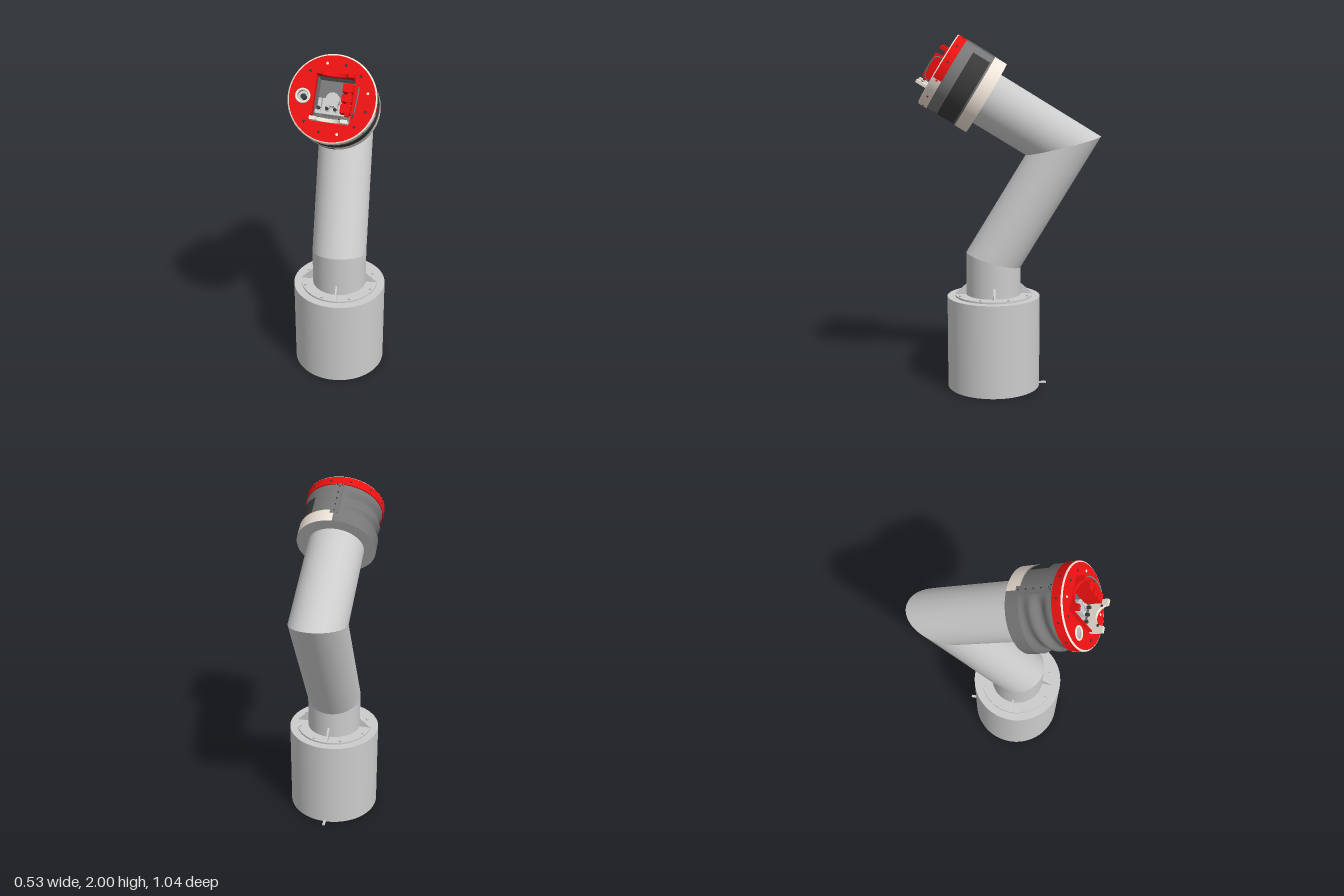
import * as THREE from 'three';

const mat = (color) => new THREE.MeshStandardMaterial({ color, side: THREE.DoubleSide });
const GREY = mat(0xcccccc), RED = mat(0xee1111), CREAM = mat(0xf2e6da);
const BODY = mat(0x777777), DARK = mat(0x3a3a3a);
const TILT = 0.547; // lean of the upper arm; the forearm is square to it

function add(parent, name, geo, material = GREY, x = 0, y = 0, z = 0) {
  const m = new THREE.Mesh(geo, material);
  m.name = name;
  m.position.set(x, y, z);
  parent.add(m);
  return m;
}

const box = (w, h, d) => new THREE.BoxGeometry(w, h, d);
const extrude = (shape, depth) =>
  new THREE.ExtrudeGeometry(shape, { depth, bevelEnabled: false, curveSegments: 32 });

// Pipe from y = 0 to len, its ends cut on a slant
function mitredPipe(r, len, slopeStart, slopeEnd) {
  const g = new THREE.CylinderGeometry(r, r, len, 64, 1, true).translate(0, len / 2, 0);
  const p = g.attributes.position;
  for (let i = 0; i < p.count; i++) {
    const y = p.getY(i), slope = y > len / 2 ? slopeEnd : slopeStart;
    p.setY(i, y + slope * p.getZ(i));
  }
  return g;
}

// Curved wall around the z axis; angle 0 is underneath, PI / 2 is +x, PI is on top
function band(r, z0, z1, start = 0, sweep = Math.PI * 2, rows = 1) {
  return new THREE.CylinderGeometry(r, r, z1 - z0, 96, rows, true, start, sweep)
    .rotateX(Math.PI / 2).translate(0, 0, (z0 + z1) / 2);
}

const stud = (r, len) => new THREE.CylinderGeometry(r, r, len, 12);

function rectPath(x0, y0, x1, y1, angle = 0, Type = THREE.Path) {
  const c = new THREE.Vector2();
  return new Type([[x0, y0], [x1, y0], [x1, y1], [x0, y1]]
    .map(([x, y]) => new THREE.Vector2(x, y).rotateAround(c, angle)));
}

// Upright plate whose outer edge has a round notch
function notchedPlate(width, height, notch, thick) {
  const s = new THREE.Shape();
  s.moveTo(-width / 2, 0);
  s.lineTo(width / 2, 0);
  s.lineTo(width / 2, height);
  s.lineTo(notch, height);
  s.absellipse(0, height, notch, height * 0.55, 0, Math.PI, true);
  s.lineTo(-width / 2, height);
  s.closePath();
  return extrude(s, thick).rotateX(Math.PI / 2);
}

function buildBase(root) {
  const base = new THREE.Group();
  base.name = 'base';
  base.position.z = 0.095;
  root.add(base);
  add(base, 'pedestal', new THREE.CylinderGeometry(0.265, 0.265, 0.53, 96), GREY, 0, 0.265, 0);
  add(base, 'mountingFlange', new THREE.CylinderGeometry(0.22, 0.22, 0.01, 64), GREY, 0, 0.535, 0);
  add(base, 'cableTab', box(0.015, 0.008, 0.06), GREY, 0, 0.004, -0.275);
  add(base, 'neck', mitredPipe(0.155, 0.21, 0, 0.28), GREY, 0, 0.53, 0);
  // Triangular gussets and flange bolts
  const fin = new THREE.Shape([[0.15, 0], [0.22, 0], [0.22, 0.012], [0.15, 0.075]]
    .map(([x, y]) => new THREE.Vector2(x, y)));
  for (let i = 0; i < 4; i++) {
    add(base, 'gusset', extrude(fin, 0.01).translate(0, 0, -0.005), GREY, 0, 0.53, 0)
      .rotation.y = i * Math.PI / 2;
  }
  for (let i = 0; i < 8; i++) {
    const a = (i + 0.5) * Math.PI / 4;
    add(base, 'flangeBolt', stud(0.008, 0.012), GREY, 0.205 * Math.cos(a), 0.542, 0.205 * Math.sin(a));
  }
}

function buildShell(head) {
  add(head, 'backPlate', new THREE.RingGeometry(0.1, 0.22, 96).rotateY(Math.PI), GREY);
  add(head, 'backRingLeft', band(0.22, 0, 0.075, 0, Math.PI), CREAM);
  add(head, 'backRingRight', band(0.22, 0, 0.075, Math.PI, Math.PI), BODY);
  add(head, 'backRingStep', new THREE.RingGeometry(0.2, 0.22, 96), BODY, 0, 0, 0.075);

  // Housing with slanting grooves sunk into the right side
  const shell = band(0.215, 0.06, 0.265, 0, Math.PI * 2, 24);
  const p = shell.attributes.position;
  for (let i = 0; i < p.count; i++) {
    const x = p.getX(i), y = p.getY(i), s = (p.getZ(i) - 0.06) / 0.205;
    const fade = THREE.MathUtils.smoothstep(-x, 0, 0.09) * Math.sin(Math.PI * s);
    const k = 1 - 0.11 * fade * Math.sin(Math.PI * (2 * s + y * 1.5)) ** 2;
    p.setXY(i, x * k, y * k);
  }
  shell.computeVertexNormals();
  add(head, 'housing', shell, BODY);
  add(head, 'darkPanel', band(0.217, 0.085, 0.19, -0.5, 3.0), DARK);

  // Riveted strip along the top
  add(head, 'topStrip', box(0.042, 0.012, 0.2), BODY, 0, 0.216, 0.155);
  for (let i = 0; i < 5; i++) {
    add(head, 'rivet', stud(0.004, 0.004), DARK, 0, 0.223, 0.07 + i * 0.042);
  }
  for (const x of [-0.012, 0.012]) add(head, 'rivet', stud(0.004, 0.004), DARK, x, 0.223, 0.248);

  // Front band, red above and cream below, with screws around it
  add(head, 'frontBandUpper', band(0.22, 0.255, 0.305, 1.34, 3.6), RED);
  add(head, 'frontBandLower', band(0.22, 0.255, 0.305, 4.94, 2.683), CREAM);
  add(head, 'frontBandStep', new THREE.RingGeometry(0.2, 0.22, 96), RED, 0, 0, 0.255);
  add(head, 'frontRim', new THREE.TorusGeometry(0.212, 0.008, 10, 96), CREAM, 0, 0, 0.304);
  for (let i = 0; i < 12; i++) {
    const a = (i + 0.5) * Math.PI / 6;
    add(head, 'bandScrew', stud(0.006, 0.006), Math.sin(a) < -0.2 ? RED : DARK,
      0.219 * Math.cos(a), 0.219 * Math.sin(a), 0.28).rotation.z = a - Math.PI / 2;
  }
}

function buildFace(head) {
  const TURN = -0.09;
  const disc = new THREE.Shape().absarc(0, 0, 0.212, 0, Math.PI * 2);
  disc.holes.push(rectPath(-0.095, -0.11, 0.1, 0.115, TURN));
  disc.holes.push(new THREE.Path().absarc(-0.145, 0.01, 0.034, 0, Math.PI * 2));
  add(head, 'facePlate', extrude(disc, 0.02), RED, 0, 0, 0.292);
  for (let i = 0; i < 12; i++) {
    const a = (i + 0.35) * Math.PI / 6;
    if (Math.abs(a - Math.PI) < 0.4) continue;
    add(head, 'faceScrew', stud(0.007, 0.004), i % 3 ? DARK : CREAM,
      0.175 * Math.cos(a), 0.175 * Math.sin(a), 0.312).rotation.x = Math.PI / 2;
  }

  // Round port beside the opening
  add(head, 'portRing', new THREE.TorusGeometry(0.032, 0.006, 10, 32), CREAM, -0.145, 0.01, 0.312);
  add(head, 'portWall', band(0.033, 0.24, 0.31), GREY, -0.145, 0.01, 0);
  add(head, 'portFloor', new THREE.CircleGeometry(0.033, 32), GREY, -0.145, 0.01, 0.25);
  add(head, 'portCore', stud(0.014, 0.04), DARK, -0.145, 0.01, 0.27).rotation.x = Math.PI / 2;

  // Square pocket behind the face
  const tool = new THREE.Group();
  tool.name = 'toolBay';
  tool.rotation.z = TURN;
  head.add(tool);
  const walls = rectPath(-0.1, -0.115, 0.105, 0.12, 0, THREE.Shape);
  walls.holes.push(rectPath(-0.095, -0.11, 0.1, 0.115));
  add(tool, 'pocketWalls', extrude(walls, 0.2), BODY, 0, 0, 0.1);
  add(tool, 'pocketFloor', box(0.2, 0.23, 0.01), BODY, 0, 0, 0.1);

  // Notched guards standing out of the opening
  add(tool, 'upperGuard', notchedPlate(0.185, 0.08, 0.065, 0.018), RED, 0.002, 0.125, 0.28);
  add(tool, 'lowerGuard', notchedPlate(0.185, 0.095, 0.06, 0.018), CREAM, 0.002, -0.1, 0.285);
  for (const x of [-0.055, 0.055]) {
    add(tool, 'guardScrew', stud(0.007, 0.004), DARK, x, -0.099, 0.35);
  }
  add(tool, 'sideGuard', box(0.008, 0.2, 0.05), RED, -0.091, 0.01, 0.305);

  // Grey gripper mechanism inside
  add(tool, 'gripperBlock', box(0.11, 0.08, 0.1), GREY, 0, -0.03, 0.18);
  add(tool, 'gripperBarrel', stud(0.035, 0.12), GREY, 0, 0, 0.235).rotation.x = Math.PI / 2;
  add(tool, 'gripperBar', box(0.15, 0.02, 0.03), GREY, -0.005, -0.065, 0.27);
  for (const x of [-0.06, -0.02, 0.02]) {
    add(tool, 'gripperFinger', box(0.016, 0.06, 0.05), GREY, x, -0.03, 0.275);
    add(tool, 'gripperPin', stud(0.008, 0.04), DARK, x, -0.05, 0.3).rotation.x = Math.PI / 2;
  }

  // Red clamp blocks and wire bracket on the left side
  for (const [y, h] of [[0.055, 0.04], [0.005, 0.035], [-0.045, 0.045]]) {
    add(tool, 'clampBlock', box(0.05, h, 0.09), RED, 0.075, y, 0.32);
  }
  add(tool, 'clampBar', box(0.02, 0.16, 0.03), RED, 0.085, 0, 0.34);
  const wire = new THREE.CatmullRomCurve3([[0.115, 0.07, 0.31], [0.125, 0.06, 0.35],
    [0.118, -0.06, 0.35], [0.108, -0.08, 0.31]].map((v) => new THREE.Vector3(...v)));
  add(tool, 'wireBracket', new THREE.TubeGeometry(wire, 24, 0.004, 8), BODY);
}

export function createModel() {
  const root = new THREE.Group();
  root.name = 'robotArm';
  buildBase(root);

  // Two straight pipes joined at the elbow
  add(root, 'upperArm', mitredPipe(0.155, 0.76, -0.28, -1), GREY, 0, 0.74, 0.095).rotation.x = -TILT;
  add(root, 'forearm', mitredPipe(0.155, 0.52, 1, 0), GREY, 0, 1.39, -0.3).rotation.x = Math.PI / 2 - TILT;

  const head = new THREE.Group();
  head.name = 'head';
  head.position.set(0, 1.655, 0.133);
  head.rotation.x = -TILT;
  root.add(head);
  buildShell(head);
  buildFace(head);
  return root;
}
